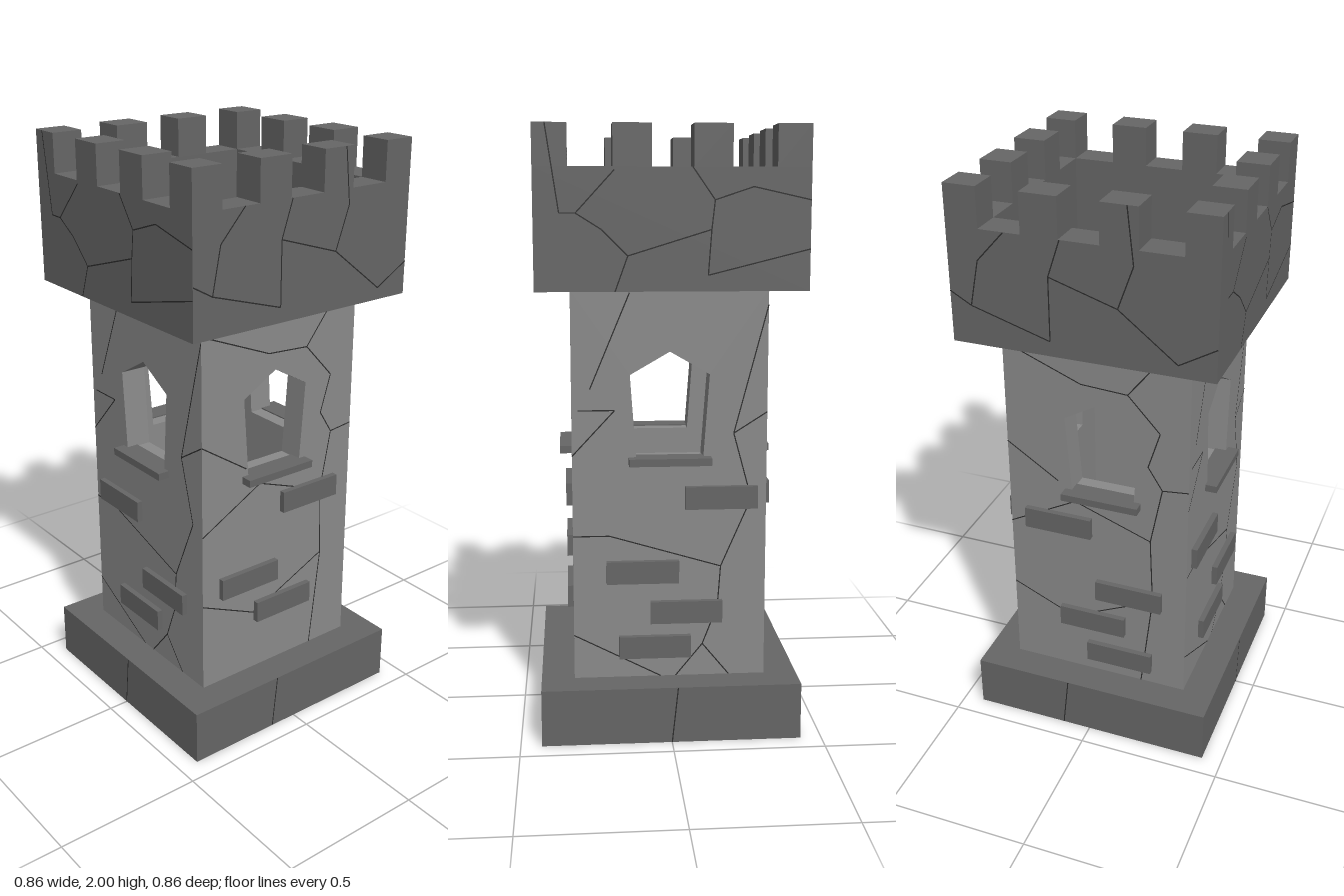
import * as THREE from 'three';
import { mergeGeometries } from 'three/addons/utils/BufferGeometryUtils.js';

const HALF = 0.32, WALL = 0.09, OUTER = 0.43, INNER = 0.323;
const BASE_TOP = 0.19, CROWN_Y = 1.49, RIM_Y = 1.87, TOP_Y = 2, DECK_Y = 1.53;

const lightStone = new THREE.MeshStandardMaterial({ color: 0x8a8a8a });
const darkStone = new THREE.MeshStandardMaterial({ color: 0x666666 });
const crackDark = new THREE.MeshStandardMaterial({ color: 0x2c2c2c });

// Four sides of the tower: turn about y, and the sideways shift of the window
const SIDES = [
  { name: 'front', turn: 0, shift: 0 },
  { name: 'left', turn: Math.PI / 2, shift: -0.02 },
  { name: 'back', turn: Math.PI, shift: 0 },
  { name: 'right', turn: -Math.PI / 2, shift: 0.02 },
];

// Raised bricks per side: [centre along the wall, centre height]
const BRICKS = {
  front: [[-0.15, 0.73], [0.11, 0.48], [-0.04, 0.345]],
  left: [[0.13, 0.807], [-0.13, 0.557], [0.02, 0.417]],
  back: [[0.17, 0.807], [-0.09, 0.557], [0.055, 0.417], [-0.05, 0.297]],
  right: [[-0.14, 0.807], [0.115, 0.557], [-0.02, 0.417], [0.08, 0.28]],
};

// Crack polylines, two patterns shared between the sides
const SHAFT_CRACKS = [
  [
    [[-0.13, 1.48], [-0.26, 1.17]],
    [[-0.32, 0.95], [-0.18, 1.1], [-0.3, 1.1]],
    [[-0.32, 0.68], [-0.2, 0.68], [0.17, 0.57], [0.27, 0.8], [0.21, 1.02], [0.32, 1.44]],
    [[0.32, 1.09], [0.21, 1.02]],
    [[0.17, 0.57], [0.16, 0.43], [0.11, 0.3], [0.02, 0.19]],
    [[-0.32, 0.34], [-0.03, 0.19]],
    [[0.11, 0.3], [0.2, 0.19]],
  ],
  [
    [[-0.32, 1.46], [-0.05, 1.35], [0.11, 1.34], [0.22, 1.48]],
    [[0.11, 1.34], [0.22, 1.22], [0.18, 1.09], [0.23, 1.01], [0.32, 1.02]],
    [[-0.32, 1.09], [-0.14, 0.97]],
    [[0.23, 1.01], [0.19, 0.8], [0.2, 0.55], [0.16, 0.19]],
    [[-0.32, 0.77], [-0.08, 0.9], [0.19, 0.8]],
    [[-0.32, 0.51], [-0.1, 0.41], [0.2, 0.55]],
  ],
];
const CROWN_CRACKS = [
  [
    [[-0.39, 2], [-0.35, 1.73], [-0.3, 1.73], [-0.18, 1.86]],
    [[-0.3, 1.73], [-0.22, 1.68], [-0.14, 1.6], [-0.18, 1.49]],
    [[-0.14, 1.6], [0.12, 1.68], [0.13, 1.77], [0.06, 1.87]],
    [[0.12, 1.68], [0.11, 1.54], [0.43, 1.62]],
    [[0.13, 1.77], [0.25, 1.81], [0.43, 1.77]],
  ],
  [
    [[-0.43, 1.66], [-0.36, 1.62], [-0.33, 1.77], [-0.24, 1.87]],
    [[-0.36, 1.62], [-0.1, 1.54], [-0.1, 1.75], [-0.06, 1.87]],
    [[-0.1, 1.75], [0.12, 1.68], [0.17, 1.82], [0.15, 2]],
    [[0.12, 1.68], [0.31, 1.53], [0.43, 1.6]],
  ],
];
const BASE_CRACKS = [[[[0, 0], [0.02, 0.19]]], [[[-0.1, 0], [-0.08, 0.19]]]];
const DECK_CRACKS = [
  [[-0.32, 0.18], [-0.09, 0.125], [0.12, 0.245], [0.13, 0.29], [0.32, 0.32]],
  [[-0.09, 0.125], [-0.04, -0.06], [0.02, -0.085]],
  [[0.12, 0.245], [0.15, 0.2], [0.32, 0.24]],
  [[0.15, 0.2], [0.16, 0.05], [0.13, -0.095], [0.06, -0.1]],
  [[0.13, -0.095], [0.19, -0.16], [0.29, -0.19], [0.32, -0.16]],
  [[0.29, -0.19], [0.25, -0.32]],
  [[-0.04, -0.06], [-0.28, -0.27], [-0.32, -0.24]],
  [[-0.28, -0.27], [-0.21, -0.32]],
];

function box(name, size, pos, material) {
  const mesh = new THREE.Mesh(new THREE.BoxGeometry(...size), material);
  mesh.position.set(...pos);
  mesh.name = name;
  return mesh;
}

function rectangle(Type, x0, y0, x1, y1) {
  return new Type([[x0, y0], [x1, y0], [x1, y1], [x0, y1]].map(p => new THREE.Vector2(...p)));
}

// Hairline strips lying just proud of a flat face
function cracks(name, lines, z) {
  const strips = [];
  for (const line of lines) {
    for (let i = 1; i < line.length; i++) {
      const [ax, ay] = line[i - 1], [bx, by] = line[i];
      const strip = new THREE.PlaneGeometry(Math.hypot(bx - ax, by - ay), 0.004);
      strip.rotateZ(Math.atan2(by - ay, bx - ax));
      strip.translate((ax + bx) / 2, (ay + by) / 2, z + 0.001);
      strips.push(strip);
    }
  }
  const mesh = new THREE.Mesh(mergeGeometries(strips), crackDark);
  mesh.name = name;
  return mesh;
}

// Shaft wall with a five-sided window opening
function wall(halfWidth, shift) {
  const shape = rectangle(THREE.Shape, -halfWidth, BASE_TOP, halfWidth, CROWN_Y);
  shape.holes.push(new THREE.Path(
    [[-0.11, 0.94], [-0.13, 1.215], [0, 1.29], [0.13, 1.215], [0.11, 0.94]]
      .map(([x, y]) => new THREE.Vector2(x + shift, y))));
  const geometry = new THREE.ExtrudeGeometry(shape, { depth: WALL, bevelEnabled: false });
  const mesh = new THREE.Mesh(geometry, lightStone);
  mesh.position.z = HALF - WALL;
  mesh.name = 'wall';
  return mesh;
}

export function createModel() {
  const tower = new THREE.Group();
  tower.name = 'tower';
  tower.add(box('base', [2 * OUTER, BASE_TOP, 2 * OUTER], [0, BASE_TOP / 2, 0], darkStone));

  // Each side: wall, window sill, raised bricks and cracks
  SIDES.forEach(({ name, turn, shift }, i) => {
    const side = new THREE.Group();
    side.name = name + 'Side';
    side.rotation.y = turn;
    side.add(wall(i % 2 ? HALF - WALL : HALF, shift));
    side.add(box('windowSill', [0.27, 0.025, 0.08], [shift, 0.932, HALF], darkStone));
    for (const [x, y] of BRICKS[name]) {
      side.add(box('brick', [0.24, 0.076, 0.04], [x, y, HALF], darkStone));
    }
    side.add(cracks('shaftCracks', SHAFT_CRACKS[i % 2], HALF));
    side.add(cracks('crownCracks', CROWN_CRACKS[i % 2], OUTER));
    side.add(cracks('baseCracks', BASE_CRACKS[i % 2], OUTER));
    tower.add(side);
  });

  // Hollow square crown with a deck inside
  const ring = rectangle(THREE.Shape, -OUTER, -OUTER, OUTER, OUTER);
  ring.holes.push(rectangle(THREE.Path, -INNER, -INNER, INNER, INNER));
  const parapet = new THREE.Mesh(
    new THREE.ExtrudeGeometry(ring, { depth: RIM_Y - CROWN_Y, bevelEnabled: false }), darkStone);
  parapet.name = 'parapet';
  parapet.rotation.x = -Math.PI / 2;
  parapet.position.y = CROWN_Y;
  tower.add(parapet);
  tower.add(box('deck', [2 * INNER, DECK_Y - CROWN_Y, 2 * INNER],
    [0, (DECK_Y + CROWN_Y) / 2, 0], darkStone));
  const deckCracks = cracks('deckCracks', DECK_CRACKS, DECK_Y);
  deckCracks.rotation.x = -Math.PI / 2;
  tower.add(deckCracks);

  // Merlons: four along each edge, sharing the corners
  const centres = [-0.3765, -0.125, 0.125, 0.3765];
  const isEnd = i => i === 0 || i === 3;
  const width = i => (isEnd(i) ? OUTER - INNER : 0.12);
  for (let i = 0; i < 4; i++) {
    for (let j = 0; j < 4; j++) {
      if (!isEnd(i) && !isEnd(j)) continue;
      tower.add(box('merlon', [width(i), TOP_Y - RIM_Y, width(j)],
        [centres[i], (TOP_Y + RIM_Y) / 2, centres[j]], darkStone));
    }
  }
  return tower;
}
